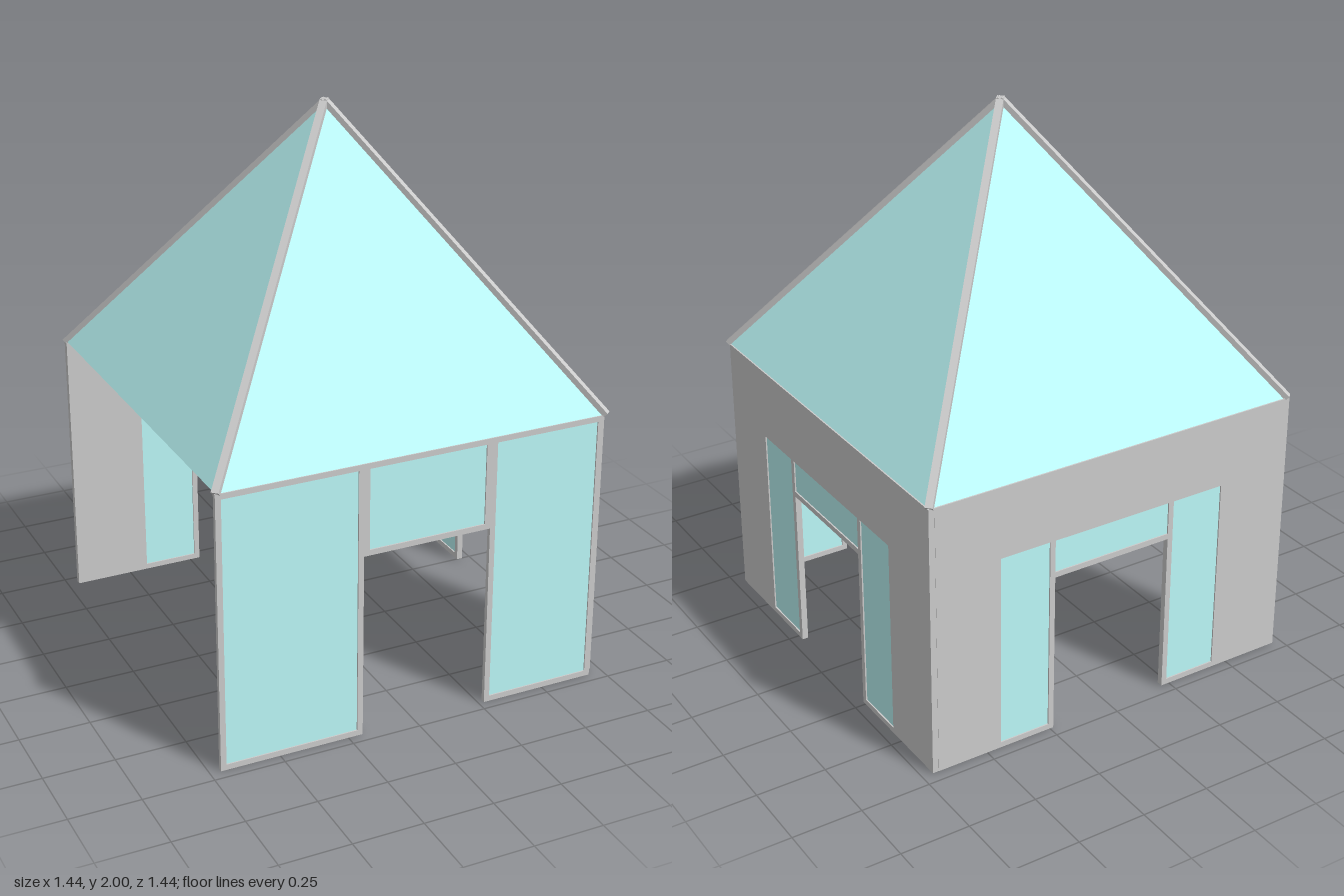
import * as THREE from 'three';

const grey = new THREE.MeshStandardMaterial({ color: 0xcccccc });
const glass = new THREE.MeshStandardMaterial({ color: 0xbcf8f8 });
const roofGlass = new THREE.MeshStandardMaterial({ color: 0xbcf8f8, side: THREE.DoubleSide, flatShading: true });

const BAR = 0.02; // width of every frame bar

// Upright box given by its edges in the wall plane, its middle depth and thickness
function slab(parent, name, material, x0, x1, y0, y1, z, depth) {
  const mesh = new THREE.Mesh(new THREE.BoxGeometry(x1 - x0, y1 - y0, depth), material);
  mesh.position.set((x0 + x1) / 2, (y0 + y1) / 2, z);
  mesh.name = name;
  parent.add(mesh);
}

// Glass pane edged by four bars
function framedPane(name, x0, x1, y0, y1, z) {
  const g = new THREE.Group();
  g.name = name;
  slab(g, 'pane', glass, x0 + BAR, x1 - BAR, y0 + BAR, y1 - BAR, z, 0.006);
  for (const x of [x0, x1 - BAR]) slab(g, 'uprightBar', grey, x, x + BAR, y0, y1, z, 0.016);
  for (const y of [y0, y1 - BAR]) slab(g, 'crossBar', grey, x0 + BAR, x1 - BAR, y, y + BAR, z, 0.016);
  return g;
}

// Solid wall with a glazed doorway, running from x0 to x1 at depth z
function doorWall(name, x0, x1, z) {
  const g = new THREE.Group();
  g.name = name;
  const thick = 0.022, left = -0.434, right = 0.45, head = 0.74;
  const shape = new THREE.Shape();
  [[x0, 0.005], [left, 0.005], [left, head], [right, head], [right, 0.005], [x1, 0.005], [x1, 1], [x0, 1]]
    .forEach(([x, y], i) => (i ? shape.lineTo(x, y) : shape.moveTo(x, y)));
  const geometry = new THREE.ExtrudeGeometry(shape, { depth: thick, bevelEnabled: false });
  geometry.translate(0, 0, z - thick / 2);
  const panel = new THREE.Mesh(geometry, grey);
  panel.name = 'solidPanel';
  g.add(panel);

  // side lights, door jambs and the light above the opening
  const jambs = [-0.235, 0.24];
  slab(g, 'sideLight', glass, left, jambs[0], 0.025, head, z, 0.012);
  slab(g, 'sideLight', glass, jambs[1] + BAR, right, 0.025, head, z, 0.012);
  slab(g, 'sillBar', grey, left, jambs[0], 0.005, 0.025, z, thick);
  slab(g, 'sillBar', grey, jambs[1] + BAR, right, 0.005, 0.025, z, thick);
  for (const x of jambs) slab(g, 'doorJamb', grey, x, x + BAR, 0.005, head, z, thick);
  slab(g, 'overLight', glass, jambs[0] + BAR, jambs[1], 0.62, head, z, 0.012);
  slab(g, 'lintelBar', grey, jambs[0] + BAR, jambs[1], 0.6, 0.62, z, thick);
  return g;
}

export function createModel() {
  const model = new THREE.Group();
  model.name = 'gardenPavilion';

  // Glazed front
  const front = new THREE.Group();
  front.name = 'frontWall';
  front.add(framedPane('rightFrontPanel', -0.712, -0.197, 0, 1, 0.704));
  front.add(framedPane('frontTransom', -0.197, 0.27, 0.67, 1, 0.704));
  front.add(framedPane('leftFrontPanel', 0.27, 0.695, 0, 1, 0.704));
  model.add(front);

  // Solid walls on the left and back; the remaining side is open
  const side = doorWall('sideWall', -0.69, 0.712, 0.702);
  side.rotation.y = Math.PI / 2;
  model.add(side, doorWall('backWall', -0.712, 0.691, -0.702));

  // Pyramid roof of glass
  const roof = new THREE.Group();
  roof.name = 'roof';
  const radius = 0.708 * Math.SQRT2, eave = 1, apex = 1.99, rise = apex - eave;
  const cone = new THREE.ConeGeometry(radius, rise, 4, 1, true);
  cone.rotateY(Math.PI / 4);
  const panes = new THREE.Mesh(cone, roofGlass);
  panes.name = 'roofPanes';
  panes.position.y = eave + rise / 2;
  roof.add(panes);

  // Hip bars from each corner to the apex
  for (let i = 0; i < 4; i++) {
    const arm = new THREE.Group();
    arm.name = 'hipBar';
    arm.rotation.y = Math.PI / 4 + (i * Math.PI) / 2;
    const bar = new THREE.Mesh(new THREE.BoxGeometry(Math.hypot(radius, rise), 0.02, 0.026), grey);
    bar.name = 'bar';
    bar.position.set(radius / 2, eave + rise / 2, 0);
    bar.rotation.z = -Math.atan2(rise, radius);
    arm.add(bar);
    roof.add(arm);
  }
  model.add(roof);
  return model;
}
